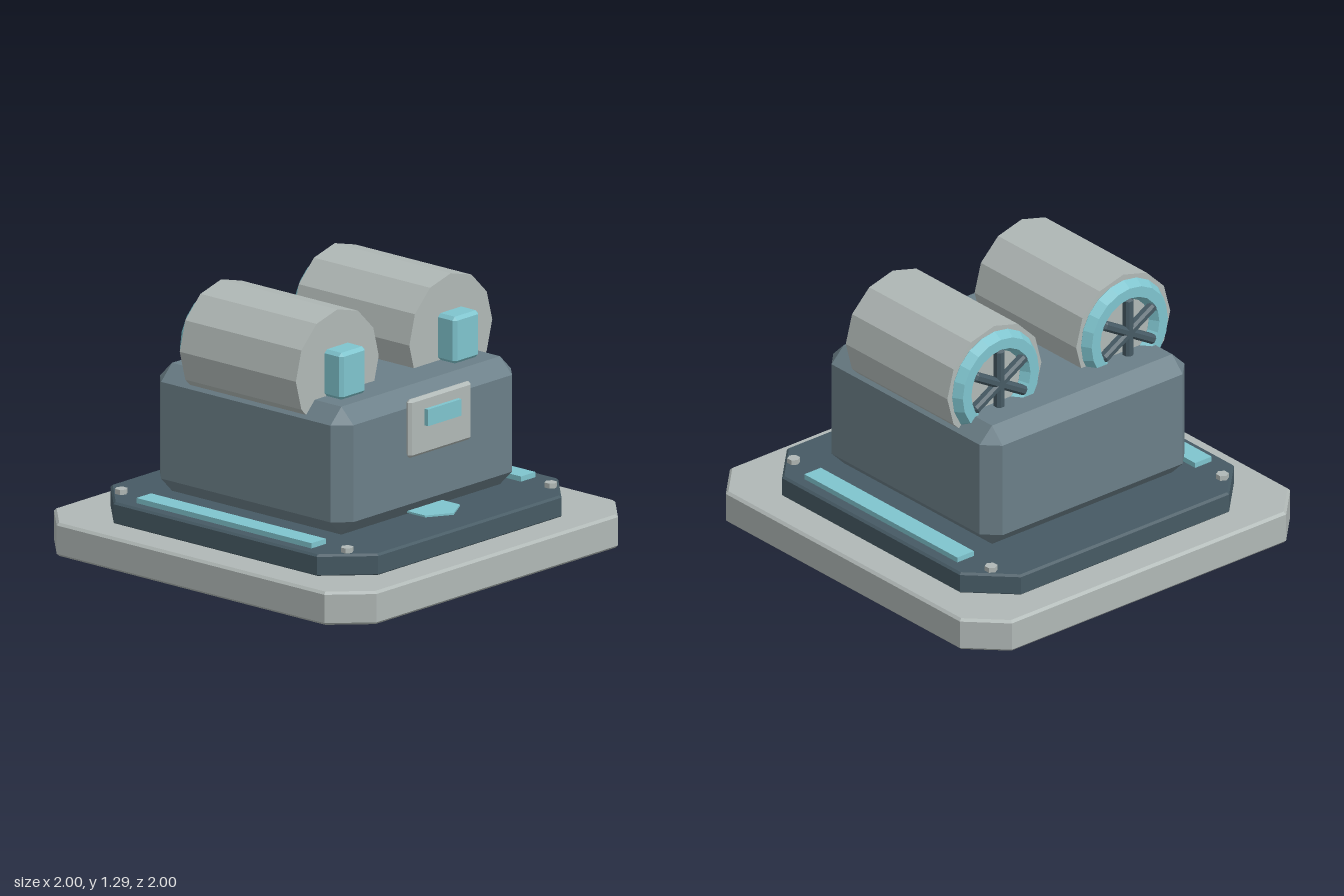
import * as THREE from 'three';
import { ConvexGeometry } from 'three/addons/geometries/ConvexGeometry.js';

const mat = (name, color) => {
  const m = new THREE.MeshStandardMaterial({ color });
  m.name = name;
  return m;
};

// Faceted normals for low-poly parts
function faceted(geometry) {
  const g = geometry.toNonIndexed();
  g.computeVertexNormals();
  return g;
}

// Box with every edge chamfered by b, centred on the origin
function chamferBox(w, h, d, b) {
  const pts = [];
  const x = w / 2, y = h / 2, z = d / 2;
  for (const sx of [-1, 1]) for (const sy of [-1, 1]) for (const sz of [-1, 1]) {
    pts.push(new THREE.Vector3(sx * x, sy * (y - b), sz * (z - b)));
    pts.push(new THREE.Vector3(sx * (x - b), sy * y, sz * (z - b)));
    pts.push(new THREE.Vector3(sx * (x - b), sy * (y - b), sz * z));
  }
  return new ConvexGeometry(pts);
}

// Square slab with cut corners and a small bevel b at top and bottom
function slab(half, cut, y0, y1, b) {
  const pts = [];
  for (const [y, inset] of [[y0, b], [y0 + b, 0], [y1 - b, 0], [y1, b]]) {
    const h = half - inset, c = half - cut - inset * 0.41;
    for (const sx of [-1, 1]) for (const sz of [-1, 1]) {
      pts.push(new THREE.Vector3(sx * h, y, sz * c), new THREE.Vector3(sx * c, y, sz * h));
    }
  }
  return new ConvexGeometry(pts);
}

export function createModel() {
  const grey = mat('light grey', 0xb0b8b6);
  const slate = mat('slate', 0x6b7f88);
  const dark = mat('dark slate', 0x465a64);
  const cyan = mat('cyan', 0x7fc4ce);

  const model = new THREE.Group();
  model.name = 'twinDrumMachine';
  const add = (name, geometry, material, x = 0, y = 0, z = 0, parent = model) => {
    const mesh = new THREE.Mesh(geometry, material);
    mesh.name = name;
    mesh.position.set(x, y, z);
    parent.add(mesh);
    return mesh;
  };

  // Stepped base and housing
  add('base', slab(1, 0.17, 0, 0.16, 0.012), grey);
  add('deck', slab(0.83, 0.2, 0.155, 0.262, 0.01), dark);
  add('housing', chamferBox(1.24, 0.615, 1.2, 0.075), slate, 0, 0.5825, 0);

  // Deck light strips and corner bolts
  for (const s of [-1, 1]) {
    add('lightStrip', new THREE.BoxGeometry(0.1, 0.03, 1.085), cyan, s * 0.72, 0.272, 0);
    for (const t of [-1, 1]) {
      add('bolt', faceted(new THREE.CylinderGeometry(0.03, 0.03, 0.03, 6)), grey, s * 0.7, 0.271, t * 0.7);
    }
  }

  // Direction arrow in front of the housing
  const arrow = new THREE.Shape([[-0.12, -0.55], [-0.12, -0.66], [0, -0.73], [0.12, -0.66], [0.12, -0.55]]
    .map(([x, y]) => new THREE.Vector2(x, y)));
  const arrowGeometry = new THREE.ExtrudeGeometry(arrow, { depth: 0.009, bevelEnabled: false });
  arrowGeometry.rotateX(-Math.PI / 2);
  add('arrow', arrowGeometry, cyan, 0, 0.29, 0);

  // Control panel and its display
  add('controlPanel', chamferBox(0.43, 0.28, 0.034, 0.014), grey, 0, 0.73, 0.637);
  add('display', new THREE.BoxGeometry(0.23, 0.08, 0.025), cyan, 0, 0.77, 0.6625);

  // Two drums, each with a front connector and a rear fan
  for (const s of [-1, 1]) {
    const drum = new THREE.Group();
    drum.name = s > 0 ? 'leftDrum' : 'rightDrum';
    drum.position.set(s * 0.39, 1.005, 0);
    model.add(drum);

    const shell = new THREE.CylinderGeometry(0.285, 0.285, 0.72, 12);
    shell.rotateX(Math.PI / 2);
    add('drumShell', faceted(shell), grey, 0, 0, 0, drum);
    add('connector', chamferBox(0.175, 0.225, 0.13, 0.016), cyan, 0, -0.003, 0.4, drum);
    add('fanRing', faceted(new THREE.TorusGeometry(0.205, 0.052, 6, 20)), cyan, 0, 0, -0.362, drum);
    for (let i = 0; i < 3; i++) {
      const bar = add('fanBlade', chamferBox(0.045, 0.36, 0.05, 0.012), dark, 0, 0, -0.393, drum);
      bar.rotation.z = i * Math.PI / 3;
    }
  }
  return model;
}
